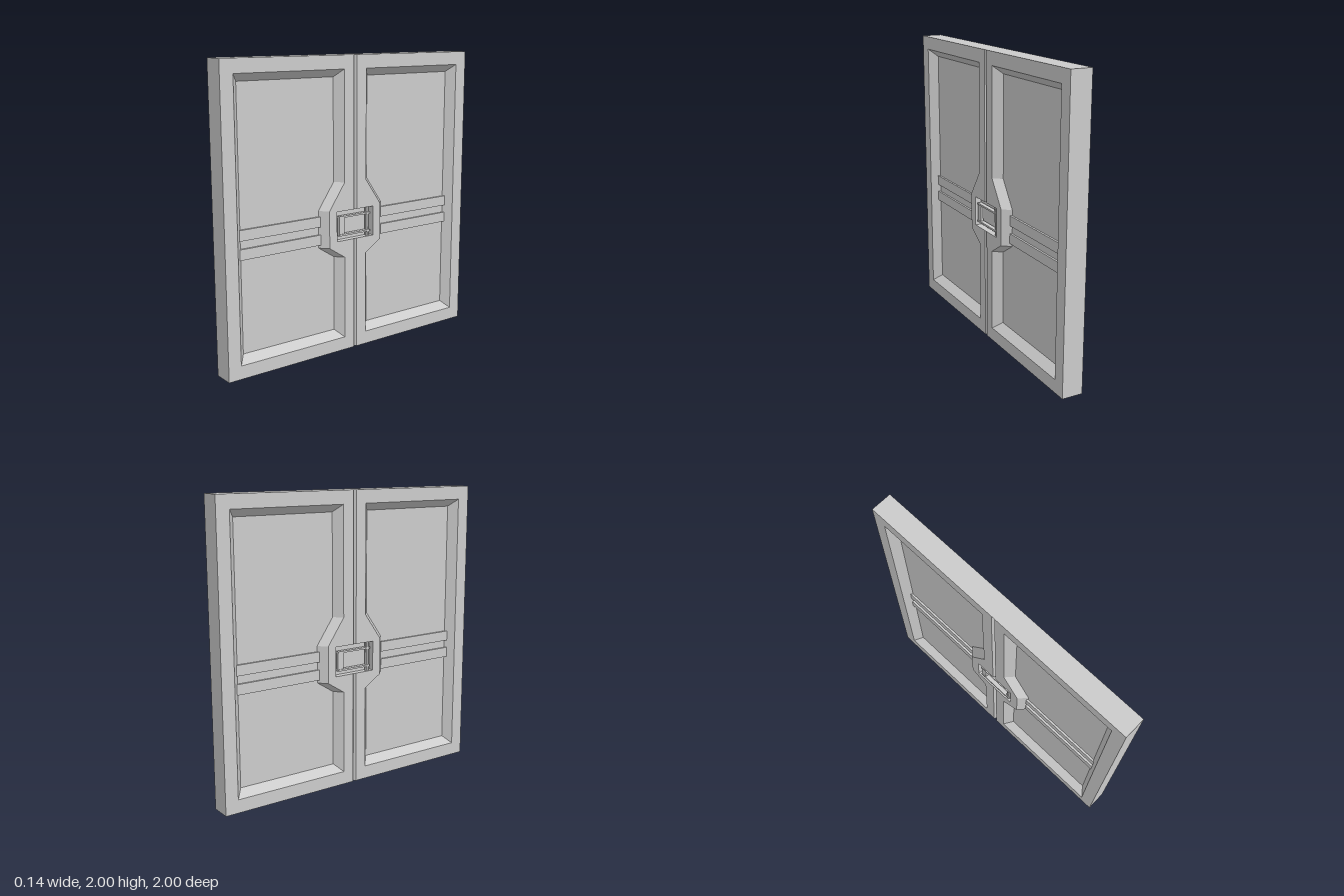
import * as THREE from 'three';

const FACE = 0.0715;   // half the door thickness
const FLOOR = 0.0145;  // height of the recessed panels
const POCKET = 0.028;  // floor of the latch pocket
const GAP = 0.012;     // half width of the centre groove
const PK = { u: 0.153, lo: 0.775, hi: 0.978 };

const material = new THREE.MeshStandardMaterial({ color: 0xcccccc, flatShading: true });

function add(group, name, geometry) {
  const mesh = new THREE.Mesh(geometry, material);
  mesh.name = name;
  group.add(mesh);
  return mesh;
}

function box(group, name, u0, u1, v0, v1, w0, w1) {
  const mesh = add(group, name, new THREE.BoxGeometry(Math.abs(u1 - u0), v1 - v0, w1 - w0));
  mesh.position.set((u0 + u1) / 2, (v0 + v1) / 2, (w0 + w1) / 2);
  return mesh;
}

const toVectors = (pts, side = 1) => pts.map(([u, v]) => new THREE.Vector2(u * side, v));

// Flat sheet facing forward at depth w, with optional holes
function sheet(outline, w, holes = []) {
  const shape = new THREE.Shape(outline);
  shape.holes = holes.map((h) => new THREE.Path(h));
  return new THREE.ShapeGeometry(shape).translate(0, 0, w);
}

// Wall joining two matching closed loops, facing into the loop when w0 > w1
function wall(loop0, w0, loop1, w1) {
  const flip = THREE.ShapeUtils.area(loop0) < 0;
  const a = flip ? [...loop0].reverse() : loop0;
  const b = flip ? [...loop1].reverse() : loop1;
  const pos = [];
  a.forEach((p, i) => {
    const j = (i + 1) % a.length;
    const q = a[j], pb = b[i], qb = b[j];
    pos.push(p.x, p.y, w0, q.x, q.y, w0, qb.x, qb.y, w1);
    pos.push(p.x, p.y, w0, qb.x, qb.y, w1, pb.x, pb.y, w1);
  });
  const g = new THREE.BufferGeometry();
  g.setAttribute('position', new THREE.Float32BufferAttribute(pos, 3));
  g.computeVertexNormals();
  return g;
}

// Panel outline stepping around the lock; inset gives the outline at the floor
const panelLoop = (inset) => [
  [0.09 + inset, 0.09 + inset], [0.91 - inset, 0.09 + inset],
  [0.91 - inset, 1.91 - inset], [0.09 + inset, 1.91 - inset],
  [0.09 + inset, 1.17], [0.215 + inset, 0.99],
  [0.215 + inset, 0.738], [0.09 + inset, 0.658],
];

// One leaf of the double door; side is -1 or 1
function addLeaf(group, side) {
  const rim = toVectors(panelLoop(0), side);
  const floor = toVectors(panelLoop(0.05), side);
  const outline = toVectors([
    [GAP, 0], [1, 0], [1, 2], [GAP, 2],
    [GAP, PK.hi], [PK.u, PK.hi], [PK.u, PK.lo], [GAP, PK.lo],
  ], side);
  add(group, 'leafFrame', sheet(outline, FACE, [rim]));
  add(group, 'panelBevel', wall(rim, FACE, floor, FLOOR));
  add(group, 'panelFloor', sheet(floor, FLOOR));

  // Two raised bands across the panel
  for (const [v0, v1] of [[0.759, 0.829], [0.882, 0.952]]) {
    box(group, 'panelBand', side * 0.257, side * 0.876, v0, v1, FLOOR - 0.005, FLOOR + 0.014);
  }
}

// V-shaped seam between the leaves, interrupted by the pocket
function addSeam(group) {
  for (const [v0, v1] of [[0, PK.lo], [PK.hi, 2]]) {
    const pos = [];
    const quad = (uL, wL, uR, wR) => pos.push(
      uL, v0, wL, uR, v0, wR, uR, v1, wR, uL, v0, wL, uR, v1, wR, uL, v1, wL);
    quad(-GAP, FACE, 0, FACE - 0.015);
    quad(0, FACE - 0.015, GAP, FACE);
    const g = new THREE.BufferGeometry();
    g.setAttribute('position', new THREE.Float32BufferAttribute(pos, 3));
    g.computeVertexNormals();
    add(group, 'centreSeam', g);
  }
}

// Sunken pocket with a U-shaped handle on a hinge post
function addLatch(group) {
  const loop = toVectors([[-PK.u, PK.lo], [PK.u, PK.lo], [PK.u, PK.hi], [-PK.u, PK.hi]]);
  add(group, 'pocketWall', wall(loop, FACE, loop, POCKET));
  add(group, 'pocketFloor', sheet(loop, POCKET));

  const post = add(group, 'hingePost', new THREE.CylinderGeometry(0.016, 0.016, PK.hi - PK.lo, 10));
  post.position.set(0.118, (PK.lo + PK.hi) / 2, POCKET + 0.02);
  for (const v of [0.812, 0.936]) {
    box(group, 'handleArm', -0.13, 0.13, v - 0.006, v + 0.006, POCKET + 0.01, FACE - 0.003);
  }
  box(group, 'handleGrip', -0.13, -0.088, 0.812, 0.936, POCKET + 0.018, FACE - 0.008);
}

function createSide() {
  const group = new THREE.Group();
  group.name = 'doorSide';
  addLeaf(group, -1);
  addLeaf(group, 1);
  addSeam(group);
  addLatch(group);
  return group;
}

export function createModel() {
  const model = new THREE.Group();
  model.name = 'doubleDoor';

  // The same side is used twice, turned half way round
  for (const turn of [1, -1]) {
    const side = createSide();
    side.rotation.y = turn * Math.PI / 2;
    model.add(side);
  }

  // Outer edge all around the slab
  const edge = toVectors([[-1, 0], [1, 0], [1, 2], [-1, 2]]);
  add(model, 'doorEdge', wall(edge, -FACE, edge, FACE)).rotation.y = Math.PI / 2;
  return model;
}
